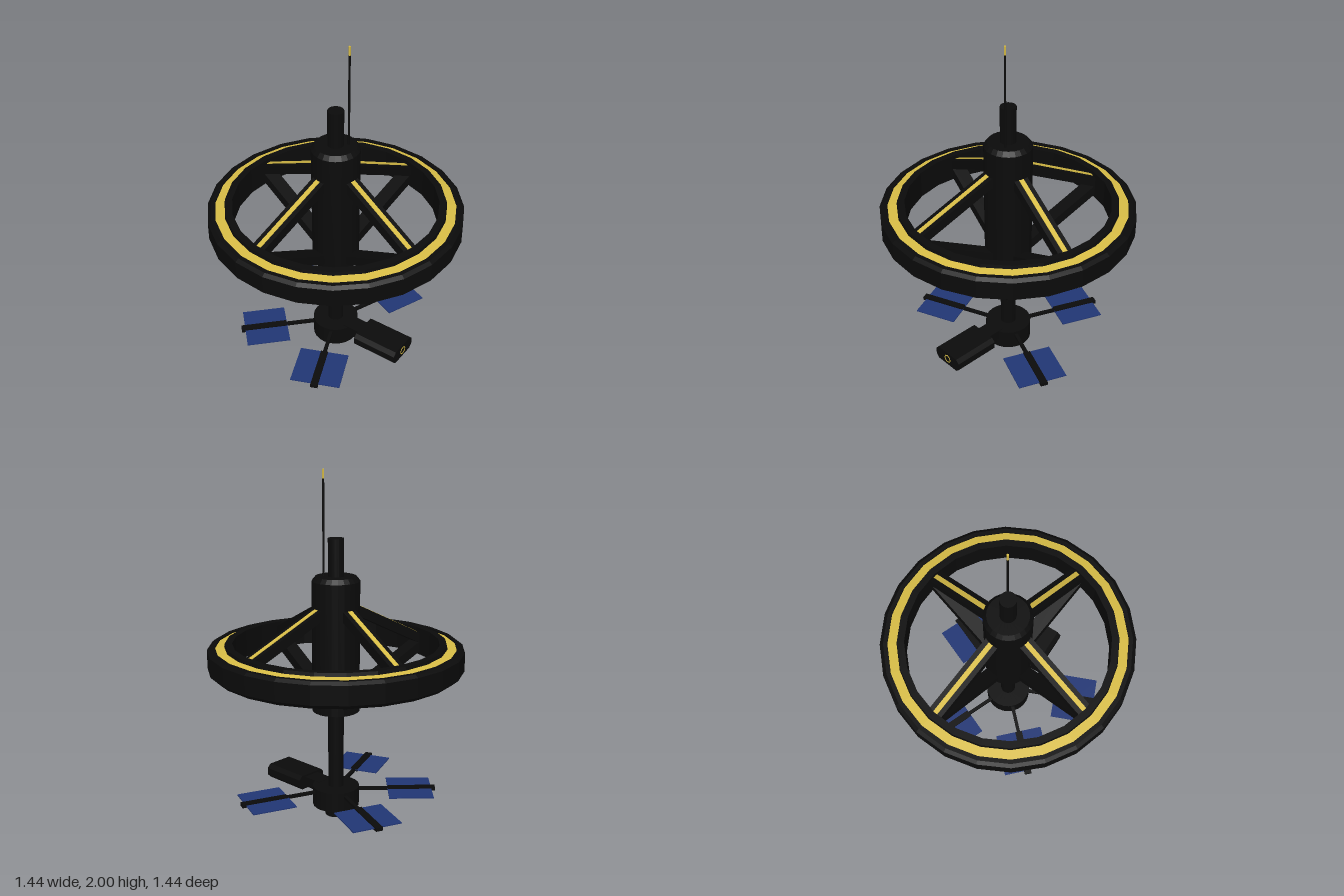
import * as THREE from 'three';

export function createModel() {
  const black = new THREE.MeshStandardMaterial({ color: 0x0b0b0b });
  black.name = 'black hull';
  const yellow = new THREE.MeshStandardMaterial({ color: 0xd8bd46 });
  yellow.name = 'yellow trim';
  const blue = new THREE.MeshStandardMaterial({ color: 0x213675 });
  blue.name = 'blue solar cells';

  const model = new THREE.Group();
  model.name = 'spaceStation';

  const add = (parent, name, geometry, material, x = 0, y = 0, z = 0) => {
    const mesh = new THREE.Mesh(geometry, material);
    mesh.name = name;
    mesh.position.set(x, y, z);
    parent.add(mesh);
    return mesh;
  };
  // Revolve a profile of [radius, height] pairs, with faceted normals
  const turned = (profile, sides) => {
    const g = new THREE.LatheGeometry(profile.map(p => new THREE.Vector2(...p)), sides).toNonIndexed();
    g.computeVertexNormals();
    return g;
  };
  const box = (x, y, z) => new THREE.BoxGeometry(x, y, z);
  // A group whose local +x points outward at an angle in the ground plane
  const radial = (name, degrees, y) => {
    const group = new THREE.Group();
    group.name = name;
    group.position.y = y;
    group.rotation.y = -THREE.MathUtils.degToRad(degrees);
    model.add(group);
    return group;
  };

  // Central column: foot, collar, mast, hub and top mast
  add(model, 'centralColumn', turned([
    [0, 0], [0.062, 0], [0.062, 0.065], [0.135, 0.065], [0.135, 0.18],
    [0.045, 0.18], [0.045, 0.645], [0.135, 0.645], [0.135, 1.395], [0.115, 1.42],
    [0.045, 1.42], [0.045, 1.63], [0, 1.63],
  ], 24), black);

  // Antenna with bright tip
  add(model, 'antenna', new THREE.CylinderGeometry(0.006, 0.006, 0.54, 8), black, 0.07, 1.68, 0);
  add(model, 'antennaTip', new THREE.CylinderGeometry(0.006, 0.006, 0.05, 8), yellow, 0.07, 1.975, 0);

  // Habitat ring with a raised inner lip and a painted band in its top
  add(model, 'habitatRing', turned([
    [0.58, 0.89], [0.69, 0.885], [0.72, 0.91], [0.72, 1.015], [0.70, 1.03],
    [0.676, 1.03], [0.676, 1.018], [0.625, 1.026], [0.62, 1.05], [0.58, 1.05], [0.58, 0.89],
  ], 24), black);
  add(model, 'ringBand', turned([[0.676, 1.022], [0.624, 1.031]], 24), yellow);

  // Sloping spokes above and below the ring plane
  for (let i = 0; i < 4; i++) {
    const spoke = radial('spokePair', 45 + i * 90, 0.965);
    for (const side of [1, -1]) {
      const strut = new THREE.Group();
      strut.name = side > 0 ? 'upperSpoke' : 'lowerSpoke';
      strut.position.set(0.355, side * 0.137, 0);
      strut.rotation.z = -side * Math.atan(0.5);
      spoke.add(strut);
      add(strut, 'spokeBeam', box(0.58, 0.055, 0.085), black);
      if (side > 0) add(strut, 'spokeStripe', box(0.54, 0.006, 0.028), yellow, 0, 0.028, 0);
    }
  }

  // Solar panels around the lower collar
  for (const angle of [101.25, 168.75, 236.25, 326.25]) {
    const arm = radial('solarArm', angle, 0.155);
    add(arm, 'armRod', box(0.24, 0.016, 0.02), black, 0.2, 0, 0);
    add(arm, 'panelSpine', box(0.275, 0.02, 0.042), black, 0.4425, 0, 0);
    add(arm, 'solarPanel', box(0.256, 0.006, 0.288), blue, 0.43, 0, 0);
  }

  // Docking module: bevelled block on a short neck, with a ring on its end
  const dock = radial('dockingModule', 33.75, 0.153);
  add(dock, 'dockNeck', box(0.14, 0.06, 0.1), black, 0.16, 0, 0);
  const w = 0.1, h = 0.043, c = 0.022;
  const section = new THREE.Shape([
    [w, h - c], [w - c, h], [c - w, h], [-w, h - c],
    [-w, c - h], [c - w, -h], [w - c, -h], [w, c - h],
  ].map(p => new THREE.Vector2(...p)));
  const body = new THREE.ExtrudeGeometry(section, { depth: 0.28, bevelEnabled: false });
  body.rotateY(Math.PI / 2);
  add(dock, 'dockBody', body, black, 0.204, 0, 0);
  const port = new THREE.TorusGeometry(0.024, 0.003, 6, 8);
  port.rotateY(Math.PI / 2);
  add(dock, 'dockPort', port, yellow, 0.484, 0, 0);

  return model;
}
